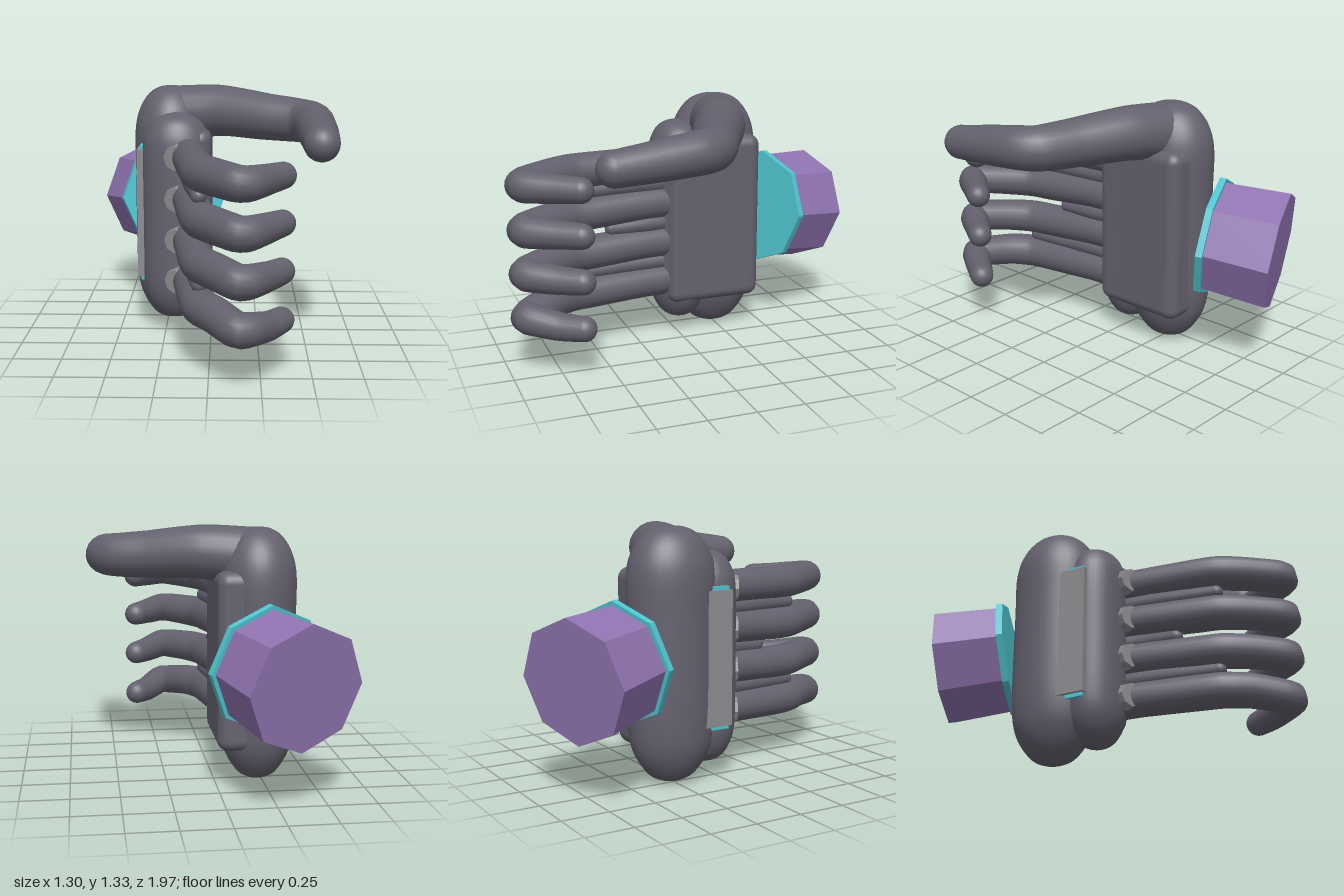
import * as THREE from 'three';
import { mergeGeometries } from 'three/addons/utils/BufferGeometryUtils.js';
import { RoundedBoxGeometry } from 'three/addons/geometries/RoundedBoxGeometry.js';

const skin = new THREE.MeshStandardMaterial({ color: 0x64616e });
const cyan = new THREE.MeshStandardMaterial({ color: 0x4fc4cf, flatShading: true });
const purple = new THREE.MeshStandardMaterial({ color: 0x8f73b0, flatShading: true });
const grey = new THREE.MeshStandardMaterial({ color: 0xcccccc, flatShading: true });
grey.color.set(0x8c8c90);

function part(name, geometry, material, parent) {
  const mesh = new THREE.Mesh(geometry, material);
  mesh.name = name;
  parent.add(mesh);
  return mesh;
}

// Round limb along a path of [x, y, z, radius], closed with spherical ends
function limb(stations, segments = 48, sides = 20) {
  const path = new THREE.CatmullRomCurve3(
    stations.map(([x, y, z]) => new THREE.Vector3(x, y, z)), false, 'catmullrom', 0.35);
  const radius = (u) => {
    const t = path.getUtoTmapping(u) * (stations.length - 1);
    const i = Math.min(Math.floor(t), stations.length - 2);
    return THREE.MathUtils.lerp(stations[i][3], stations[i + 1][3], t - i);
  };
  const tube = new THREE.TubeGeometry(path, segments, 1, sides);
  const pos = tube.attributes.position;
  const v = new THREE.Vector3();
  for (let i = 0; i <= segments; i++) {
    const centre = path.getPointAt(i / segments);
    const r = radius(i / segments);
    for (let j = 0; j <= sides; j++) {
      const k = i * (sides + 1) + j;
      v.fromBufferAttribute(pos, k).sub(centre).multiplyScalar(r).add(centre);
      pos.setXYZ(k, v.x, v.y, v.z);
    }
  }
  const ends = [stations[0], stations[stations.length - 1]].map(([x, y, z, r]) =>
    new THREE.SphereGeometry(r, sides, 14).translate(x, y, z));
  return mergeGeometries([tube, ...ends]);
}

// Upright rounded lobe: profile of [relative width, y], elliptical in plan
function lobe(profile, x, z, rx, rz) {
  const curve = new THREE.SplineCurve(profile.map(([w, y]) => new THREE.Vector2(w, y)));
  const points = curve.getPoints(48);
  points.forEach((p) => { p.x = Math.max(p.x, 0); });
  return new THREE.LatheGeometry(points, 36).scale(rx, 1, rz).translate(x, 0, z);
}

// Octagonal prism along -z with one corner pointing up
function octagon(farRadius, nearRadius, length) {
  return new THREE.CylinderGeometry(farRadius, nearRadius, length, 8).rotateX(-Math.PI / 2);
}

export function createModel() {
  const model = new THREE.Group();
  model.name = 'mechanicalHand';

  // Palm: back lobe, knuckle lobe and the flat inner face
  const palm = new THREE.Group();
  palm.name = 'palm';
  model.add(palm);
  part('palmBack', lobe([[0, 0], [0.3, 0.015], [0.55, 0.05], [0.82, 0.14], [0.96, 0.25], [1, 0.45], [1, 0.85],
    [1, 1.08], [0.86, 1.2], [0.6, 1.28], [0.3, 1.315], [0, 1.32]], -0.225, -0.25, 0.2, 0.235), skin, palm);
  part('palmKnuckles', lobe([[0, 0.07], [0.4, 0.085], [0.7, 0.13], [0.93, 0.22], [1, 0.35], [1, 0.65],
    [1, 0.98], [0.87, 1.1], [0.55, 1.17], [0, 1.2]], -0.185, -0.03, 0.185, 0.16), skin, palm);
  part('palmFace', new RoundedBoxGeometry(0.2, 0.92, 0.53, 5, 0.06).translate(-0.1, 0.65, -0.19), skin, palm);

  // Thumb
  part('thumb', limb([
    [-0.22, 1.17, -0.25, 0.15], [0.05, 1.19, -0.18, 0.14], [0.3, 1.17, -0.06, 0.125],
    [0.47, 1.16, 0.02, 0.115], [0.53, 1.155, 0.12, 0.11], [0.54, 1.13, 0.35, 0.1], [0.54, 1.11, 0.54, 0.09],
  ]), skin, model);

  // Four curled fingers, each with an octagonal knuckle cap: [root y, bend y, tip y]
  const rows = [[0.98, 0.98, 0.975], [0.76, 0.75, 0.745], [0.54, 0.53, 0.51], [0.32, 0.315, 0.265]];
  rows.forEach(([root, bend, tip], i) => {
    part('finger' + (i + 1), limb([
      [-0.13, root, 0, 0.095], [-0.105, root, 0.2, 0.09], [-0.065, bend, 0.5, 0.092], [-0.04, bend, 0.62, 0.092],
      [0.03, bend, 0.74, 0.09], [0.135, (bend + tip) / 2, 0.89, 0.086], [0.19, (bend + tip) / 2, 0.885, 0.083],
      [0.28, tip, 0.755, 0.072], [0.35, tip, 0.655, 0.065],
    ]), skin, model);
    const cap = part('knuckleCap', octagon(0.065, 0.083, 0.1), grey, model);
    cap.position.set(-0.165, root, 0.14);
    cap.rotation.y = 2.62;
  });

  // Webs joining neighbouring fingers
  for (let i = 0; i < 3; i++) {
    const y = (rows[i][0] + rows[i + 1][0]) / 2;
    const reach = i === 1 ? 0.38 : 0.6;
    part('fingerWeb', limb([
      [-0.12, y, 0, 0.055], [-0.09, y, reach / 2, 0.05], [-0.05 - (0.6 - reach) * 0.13, y - 0.005, reach, 0.04],
    ], 16, 12), skin, model);
  }

  // Armour plate on the back of the hand, over a glowing strip
  part('backPlate', new THREE.BoxGeometry(0.035, 0.7, 0.16).translate(-0.382, 0.65, -0.07), grey, model);
  part('plateStrip', new THREE.BoxGeometry(0.015, 0.74, 0.1).translate(-0.375, 0.65, -0.05), cyan, model);

  // Octagonal wrist cuff behind the palm
  const cuff = new THREE.Group();
  cuff.name = 'wristCuff';
  cuff.position.set(-0.225, 0.65, -0.545);
  cuff.rotation.set(-0.12, 0.4, 0, 'YXZ');
  model.add(cuff);
  part('cuffFlange', octagon(0.322, 0.322, 0.035), cyan, cuff);
  part('cuffBody', octagon(0.318, 0.3, 0.335).translate(0, 0, -0.184), purple, cuff);

  return model;
}
